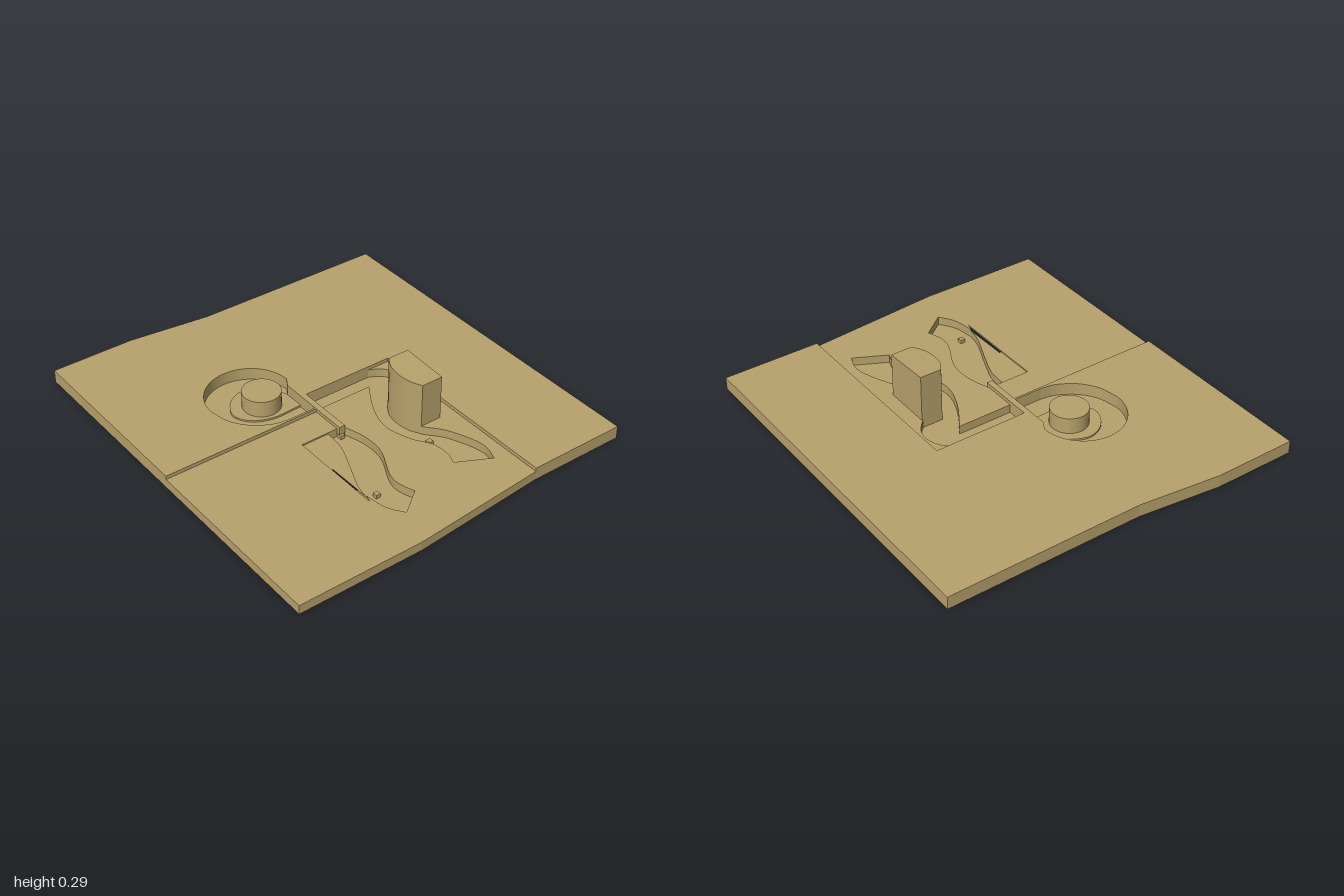
import * as THREE from 'three';

const TOP = 0.066, LOW = 0.047, FLOOR = 0.003;
const clay = new THREE.MeshStandardMaterial({ color: 0xb8a26c, flatShading: true, side: THREE.DoubleSide });
clay.name = 'sand';

// Smooth run of [x, z] points
const curve = (pts, n = 24) => new THREE.SplineCurve(pts.map(p => new THREE.Vector2(...p)))
  .getPoints(n).map(p => [p.x, p.y]);

// Circular arc in x/z, angles in degrees (0 = +x, 90 = +z)
const arc = (cx, cz, r, a0, a1, n = 32) => Array.from({ length: n + 1 }, (_, i) => {
  const a = THREE.MathUtils.degToRad(a0 + (a1 - a0) * i / n);
  return [cx + r * Math.cos(a), cz + r * Math.sin(a)];
});

const flat = pts => pts.map(([x, z]) => new THREE.Vector2(x, -z));

export function createModel() {
  const group = new THREE.Group();
  const add = (name, geo) => {
    const mesh = new THREE.Mesh(geo, clay);
    mesh.name = name;
    group.add(mesh);
    return mesh;
  };
  // Horizontal sheet at height y
  const sheet = (name, pts, y, holes = []) => {
    const shape = new THREE.Shape(flat(pts));
    holes.forEach(h => shape.holes.push(new THREE.Path(flat(h))));
    return add(name, new THREE.ShapeGeometry(shape).rotateX(-Math.PI / 2).translate(0, y, 0));
  };
  // Upright wall following a run of points
  const wall = (name, pts, y0, y1) => {
    const pos = [], index = [];
    pts.forEach(([x, z], i) => {
      pos.push(x, y0, z, x, y1, z);
      const a = i * 2;
      if (i) index.push(a - 2, a, a - 1, a - 1, a, a + 1);
    });
    const geo = new THREE.BufferGeometry();
    geo.setAttribute('position', new THREE.Float32BufferAttribute(pos, 3));
    geo.setIndex(index);
    geo.computeVertexNormals();
    return add(name, geo);
  };
  // Solid prism standing on y0
  const prism = (name, pts, y0, y1) => add(name,
    new THREE.ExtrudeGeometry(new THREE.Shape(flat(pts)), { depth: y1 - y0, bevelEnabled: false })
      .rotateX(-Math.PI / 2).translate(0, y0, 0));

  // Recess outlines
  const ring = [
    [-0.07, -0.12], ...arc(-0.288, -0.275, 0.215, 0, -180, 40),
    ...curve([[-0.503, -0.275], [-0.48, -0.17], [-0.42, -0.085], [-0.33, -0.027], [-0.25, -0.01]], 16).slice(1),
    [-0.1, -0.01],
  ];
  const armInner = [
    [-0.07, -0.01], [0.22, -0.01],
    ...curve([[0.22, -0.01], [0.13, 0.14], [0.09, 0.28], [0.125, 0.42], [0.18, 0.51], [0.19, 0.6], [0.17, 0.67]]).slice(1),
  ];
  const armOuter = [
    ...curve([[0.335, 0.755], [0.36, 0.65], [0.3, 0.48], [0.22, 0.375], [0.183, 0.25], [0.22, 0.13]]),
    [0.33, 0.13],
    ...curve([[0.33, 0.13], [0.38, 0.07], [0.395, 0], [0.365, -0.08], [0.3, -0.12]], 16).slice(1),
  ];
  const leftRight = [
    [-0.07, 0.16],
    ...curve([[-0.07, 0.16], [-0.035, 0.28], [-0.04, 0.41], [-0.11, 0.56], [-0.12, 0.64], [-0.095, 0.72]]).slice(1),
    [-0.215, 0.81],
  ];
  const leftTip = curve([[-0.215, 0.81], [-0.265, 0.73], [-0.285, 0.62]], 10);
  const leftInner = curve([[-0.285, 0.62], [-0.265, 0.53], [-0.21, 0.4], [-0.16, 0.27], [-0.15, 0.16]], 16);

  // Raised panels behind and on the right, and the lower front panel
  sheet('raisedPanel', [
    [-0.925, -1], [-0.5, -1], [-0.08, -0.95], [0.925, -0.945], [0.925, 0.94], [0.42, 0.94], [0.42, -0.12],
    ...ring, [-0.1, 0], [-0.925, 0],
  ], TOP);
  const leftHole = [[-0.298, 0.16], ...leftRight, ...leftTip.slice(1), [-0.298, 0.66]];
  sheet('lowerPanel', [
    [-0.925, 0], [-0.1, 0], ...armInner, ...armOuter,
    [0.42, -0.12], [0.42, 0.94], [-0.28, 1], [-0.925, 1],
  ], LOW, [leftHole]);

  // Outer rim, open underneath
  wall('raisedRim', [[-0.925, 0], [-0.925, -1], [-0.5, -1], [-0.08, -0.95], [0.925, -0.945], [0.925, 0.94], [0.42, 0.94]], 0, TOP);
  wall('lowerRim', [[0.42, 0.94], [-0.28, 1], [-0.925, 1], [-0.925, 0]], 0, LOW);

  // Steps between the panels
  wall('leftStep', [[-0.925, 0], [-0.1, 0]], LOW, TOP);
  wall('rightStep', [[0.42, 0.94], [0.42, -0.12], [0.3, -0.12]], LOW, TOP);

  // Round recess, with a raised inner floor and a hollow post
  const post = arc(-0.245, -0.237, 0.095, 0, 360, 40);
  const inner = [
    [-0.1, -0.125],
    ...curve([[-0.1, -0.23], [-0.14, -0.33], [-0.25, -0.385], [-0.35, -0.345], [-0.4, -0.25], [-0.355, -0.165], [-0.27, -0.125], [-0.21, -0.12]], 30),
  ];
  wall('roundRecessWall', ring, FLOOR, TOP);
  sheet('roundRecessFloor', ring, FLOOR, [post]);
  sheet('innerFloor', inner, 0.012, [post]);
  wall('innerFloorEdge', [...inner, inner[0]], FLOOR, 0.012);
  wall('postWall', post, FLOOR, 0.096);
  sheet('postTop', post, 0.096);

  // Thin divider between the round recess and the channel
  prism('divider', [[-0.1, -0.23], [-0.07, -0.28], [-0.07, 0.18], [-0.1, 0.18]], FLOOR, TOP);

  // Channel that bends round into the right arm
  const channel = [[-0.07, -0.12], ...armInner, ...armOuter];
  sheet('channelFloor', channel, FLOOR);
  wall('channelInnerWall', [...armInner, armOuter[0]], FLOOR, LOW);
  wall('channelOuterWall', armOuter, FLOOR, LOW);
  wall('channelBackWall', [[0.3, -0.12], [-0.07, -0.12]], FLOOR, TOP);

  // Left arm recess and the sunken patch beside it
  const leftArm = [...leftRight, ...leftTip.slice(1), ...leftInner.slice(1)];
  sheet('leftArmFloor', leftArm, FLOOR);
  wall('leftArmWall', [[-0.15, 0.16], ...leftRight, ...leftTip.slice(1)], FLOOR, LOW);
  wall('leftArmInnerWall', leftInner, FLOOR, 0.04);
  sheet('sunkenPatch', [[-0.298, 0.16], [-0.298, 0.38], [-0.288, 0.38], ...leftInner], 0.04);
  wall('patchEdge', [[-0.298, 0.66], [-0.298, 0.16], [-0.15, 0.16]], 0.04, LOW);

  // Tower with a rounded side and a top that rises to the back
  const tower = prism('tower', [
    [0.335, 0.13], [0.335, 0.378], ...curve([[0.222, 0.378], [0.193, 0.32], [0.183, 0.25], [0.193, 0.18], [0.222, 0.13]], 12),
  ], FLOOR, 0.285);
  const p = tower.geometry.attributes.position;
  for (let i = 0; i < p.count; i++) {
    if (p.getY(i) > 0.1) p.setY(i, 0.29 - 0.012 * (p.getZ(i) - 0.13) / 0.248);
  }
  tower.geometry.computeVertexNormals();

  // Small pegs on the arm floors
  [[-0.22, 0.61], [0.205, 0.46], [-0.09, 0.18]].forEach(([x, z]) =>
    add('peg', new THREE.BoxGeometry(0.025, 0.02, 0.025).translate(x, FLOOR + 0.01, z)));

  return group;
}
